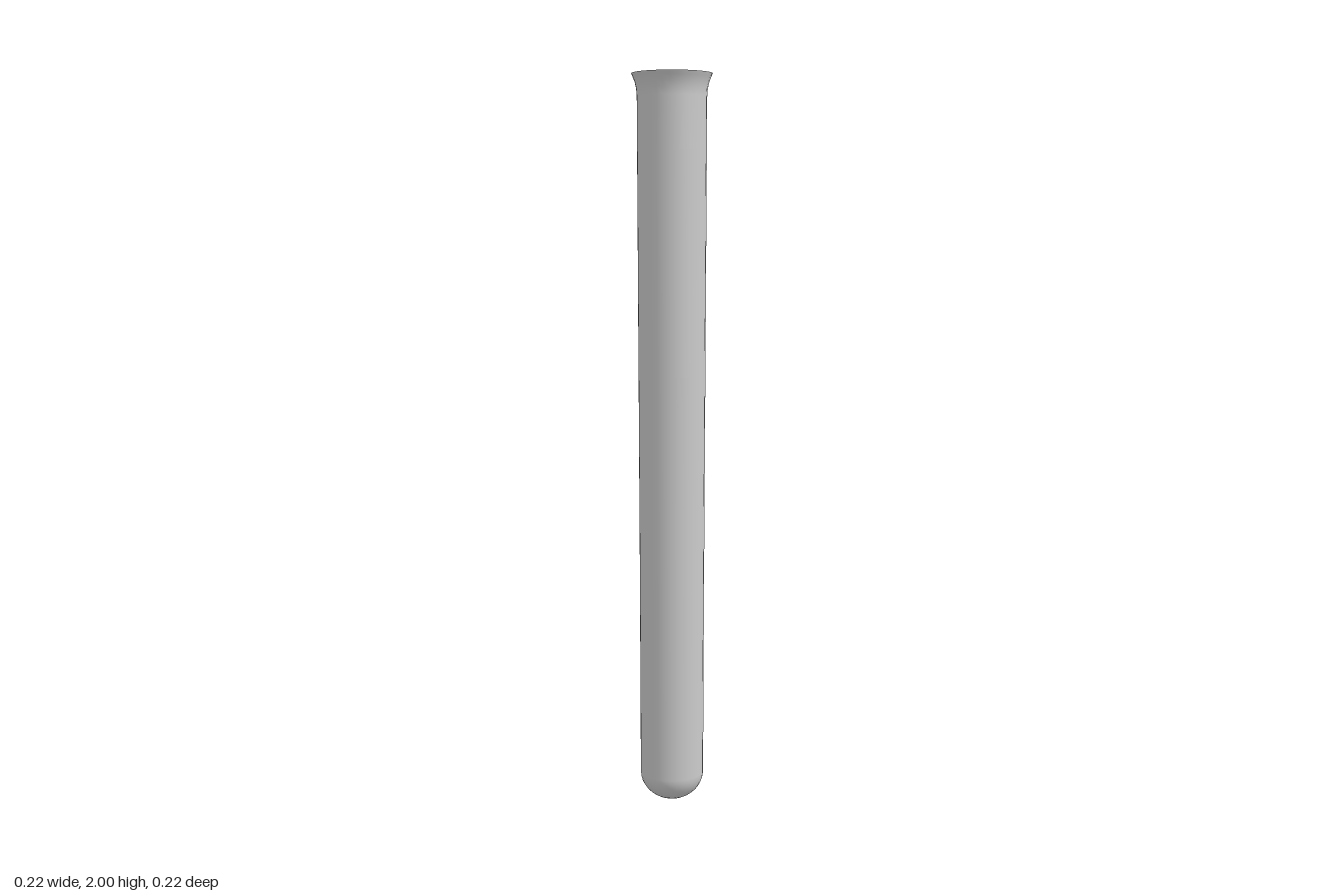
import * as THREE from 'three';

const SIDES = 32;
const WALL = 0.006;

// Half of a wall section, from the bottom centre up to the lip
function wallProfile(inset) {
  const points = [];
  const base = 0.088 - inset;
  const bowl = 0.078;
  // rounded bottom
  for (let i = 0; i <= 10; i++) {
    const a = (i / 10) * Math.PI / 2;
    points.push(new THREE.Vector2(base * Math.sin(a), bowl - (bowl - inset) * Math.cos(a)));
  }
  // slightly tapering tube, then the flared mouth
  const upper = [
    [0.089, 0.6], [0.091, 1.2], [0.093, 1.8], [0.0935, 1.94],
    [0.095, 1.96], [0.099, 1.978], [0.104, 1.99], [0.108, 2],
  ];
  for (const [r, y] of upper) points.push(new THREE.Vector2(r - inset, y));
  return points;
}

export function createModel() {
  const group = new THREE.Group();
  group.name = 'testTube';
  const material = new THREE.MeshStandardMaterial({ color: 0xcccccc });

  function addLathe(name, points) {
    const mesh = new THREE.Mesh(new THREE.LatheGeometry(points, SIDES), material);
    mesh.name = name;
    group.add(mesh);
  }

  const outer = wallProfile(0);
  const inner = wallProfile(WALL).reverse(); // runs downward so it faces the axis
  addLathe('outerWall', outer);
  addLathe('innerWall', inner);
  // flat lip joining the two walls
  addLathe('lip', [outer[outer.length - 1], inner[0]]);

  return group;
}
